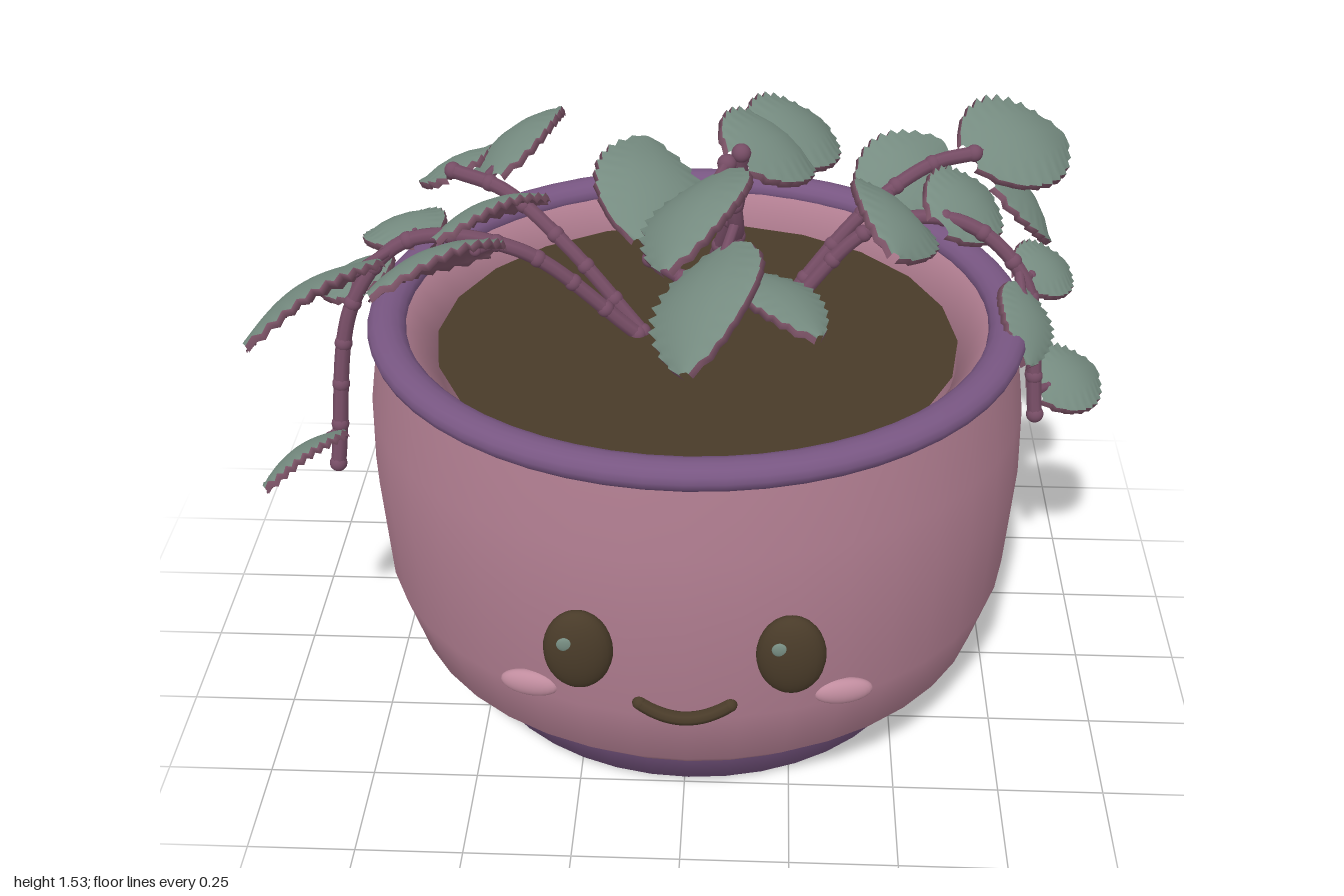
import * as THREE from 'three';

const mat = (name, color) => {
  const m = new THREE.MeshStandardMaterial({ color });
  m.name = name;
  return m;
};
const V = (p) => new THREE.Vector3(...p);

export function createModel() {
  const model = new THREE.Group();
  const pink = mat('dusty pink', 0xb07d90);
  const purple = mat('muted purple', 0x785682);
  const brown = mat('dark brown', 0x493b29);
  const green = mat('sage green', 0x768c81);
  const plum = mat('plum', 0x754c64);
  const mauve = mat('leaf mauve', 0x80566a);
  const blush = mat('blush', 0xc08c9e);

  const add = (parent, name, geo, material, pos = [0, 0, 0], scale = [1, 1, 1]) => {
    const mesh = new THREE.Mesh(geo, material);
    mesh.name = name;
    mesh.position.set(...pos);
    mesh.scale.set(...scale);
    parent.add(mesh);
    return mesh;
  };

  // Oval pot: lathed parts, wider than deep
  const pot = new THREE.Group();
  pot.name = 'pot';
  pot.position.set(0.01, 0, -0.015);
  pot.scale.set(1.085, 1, 1);
  model.add(pot);
  const lathe = (name, pts, material) => add(pot, name,
    new THREE.LatheGeometry(pts.map(([r, y]) => new THREE.Vector2(r, y)), 40), material);
  lathe('potWall', [[0.56, 0.11], [0.658, 0.21], [0.704, 0.38], [0.717, 0.65], [0.711, 0.82], [0.685, 1]], pink);
  lathe('baseBand', [[0.42, 0], [0.52, 0.02], [0.56, 0.11]], purple);
  lathe('underside', [[0.13, 0.15], [0.135, 0.09], [0.16, 0.055], [0.22, 0.05], [0.32, 0.04], [0.42, 0]], purple);
  lathe('innerWall', [[0.655, 1.02], [0.62, 1], [0.565, 0.92], [0.56, 0.5], [0.45, 0.17], [0.13, 0.15]], pink);
  const rim = new THREE.TorusGeometry(0.665, 0.041, 14, 56).rotateX(Math.PI / 2);
  add(pot, 'rim', rim, purple, [0, 1.012, 0], [1, 0.82, 1]);
  const soil = new THREE.CircleGeometry(0.565, 22).rotateX(-Math.PI / 2);
  add(pot, 'soil', soil, brown, [0, 0.94, 0]);

  // Face
  const ball = new THREE.SphereGeometry(1, 24, 16);
  for (const s of [-1, 1]) {
    const x = 0.01 + s * 0.23;
    add(model, 'eye', ball, brown, [x, 0.57, 0.688], [0.076, 0.104, 0.04]);
    add(model, 'eyeGlint', ball, green, [x - 0.025, 0.608, 0.72], [0.018, 0.018, 0.006]);
    const cheek = add(model, 'cheek', ball, blush, [0.01 + s * 0.35, 0.408, 0.617], [0.068, 0.033, 0.022]);
    cheek.rotation.y = s * 0.2;
  }
  const smile = new THREE.QuadraticBezierCurve3(V([-0.09, 0.418, 0.685]), V([0.01, 0.354, 0.71]), V([0.11, 0.418, 0.685]));
  add(model, 'mouth', new THREE.TubeGeometry(smile, 16, 0.016, 8), brown);
  for (const t of [0, 1]) add(model, 'mouthEnd', ball, brown, smile.getPoint(t).toArray(), [0.016, 0.016, 0.016]);

  // Surface from equal cross-section rows
  const skin = (rows, flip) => {
    const n = rows[0].length, index = [];
    for (let i = 0; i < rows.length - 1; i++) {
      for (let j = 0; j < n - 1; j++) {
        const a = i * n + j, b = a + 1, c = a + n, d = c + 1;
        index.push(...(flip ? [a, c, b, b, c, d] : [a, b, c, b, d, c]));
      }
    }
    const geo = new THREE.BufferGeometry().setFromPoints(rows.flat());
    geo.setIndex(index);
    geo.computeVertexNormals();
    return geo;
  };

  // Arched leaf with a serrated rim: green face above, mauve edge and underside
  const addLeaf = (parent, base, tip, up) => {
    const d = tip.clone().sub(base), len = d.length();
    const side = d.clone().cross(up).normalize();
    const n = side.clone().cross(d).normalize();
    const ROWS = 20, us = [-1, -0.85, -0.45, 0, 0.45, 0.85, 1];
    const point = (i, u, drop) => {
      const t = i / ROWS;
      const tooth = Math.abs(u) === 1 ? (i % 2 ? 1 : -1) : 0;
      const w = 0.38 * len * Math.pow(Math.sin(Math.PI * Math.pow(0.03 + 0.96 * t, 0.87)), 0.68);
      const h = 0.12 * len * Math.sin(Math.PI * t) - 0.2 * w * u * u + 0.005 * tooth;
      return base.clone().addScaledVector(d, t).addScaledVector(side, u * w * (1 + 0.05 * tooth)).addScaledVector(n, h - drop);
    };
    const rows = (fn) => Array.from({ length: ROWS + 1 }, (_, i) => fn(i));
    const leaf = new THREE.Group();
    leaf.name = 'leaf';
    add(leaf, 'leafTop', skin(rows((i) => us.map((u) => point(i, u, 0))), false), green);
    add(leaf, 'leafUnderside', skin(rows((i) => [point(i, -1, 0),
      ...us.map((u) => point(i, u, 0.016)), point(i, 1, 0)]), true), mauve);
    parent.add(leaf);
  };

  // Tube with knobbly joints
  const addTube = (parent, name, pts, r) => {
    const curve = new THREE.CatmullRomCurve3(pts);
    const steps = Math.max(1, Math.round(curve.getLength() / 0.1));
    add(parent, name, new THREE.TubeGeometry(curve, 6 * steps, r, 8), plum);
    for (let i = 0; i <= steps; i++) {
      add(parent, name + 'Joint', ball, plum, curve.getPointAt(i / steps).toArray(), [r * 1.15, r * 1.15, r * 1.15]);
    }
    return curve;
  };

  // Stem with stalked leaves facing 'up', each given as [place along stem, length, tip]
  const grow = (name, up, stem, leaves) => {
    const branch = new THREE.Group();
    branch.name = name;
    model.add(branch);
    const curve = addTube(branch, 'stem', stem.map(V), 0.018);
    for (const [t, length, tipAt] of leaves) {
      const root = curve.getPoint(t), tip = V(tipAt);
      const base = tip.clone().addScaledVector(root.clone().sub(tip).normalize(), length);
      addTube(branch, 'leafStalk', [root, base.clone().lerp(tip, 0.15)], 0.012);
      addLeaf(branch, base, tip, V(up));
    }
  };

  grow('middleStem', [0.6, 1, 0.1],
    [[0.04, 0.93, 0], [0.05, 1.15, 0.03], [0.1, 1.36, 0.12], [0.11, 1.5, 0.16]], [
      [0.97, 0.3, [0.23, 1.41, -0.11]],
      [0.95, 0.3, [0.29, 1.4, -0.24]],
    ]);
  grow('middleBackStem', [0.4, 0.8, 0.4],
    [[0.05, 0.94, 0], [0, 1.06, -0.03], [-0.1, 1.12, -0.06]], [
      [1, 0.37, [-0.13, 1.24, -0.47]],
    ]);
  grow('middleForeStem', [-0.65, 1, 0.05],
    [[0.1, 1.2, 0.06], [0.1, 1.33, 0.15], [0.08, 1.48, 0.17]], [
      [1, 0.33, [-0.04, 1.4, 0.49]],
      [0.5, 0.36, [0, 1.18, 0.53]],
    ]);
  grow('middleLowStem', [-0.3, 0.8, -0.7],
    [[0.05, 0.94, 0], [0.07, 1.06, 0.02], [0.1, 1.16, 0.04]], [
      [1, 0.29, [0.29, 1.12, 0.27]],
    ]);
  grow('leftStem', [-0.55, 1, -0.4],
    [[-0.12, 0.94, -0.03], [-0.3, 1.13, -0.1], [-0.45, 1.23, -0.18], [-0.58, 1.25, -0.24]], [
      [0.8, 0.33, [-0.37, 1.28, -0.53]],
      [1, 0.25, [-0.6, 1.14, -0.49]],
    ]);
  grow('leftTrailingStem', [-0.5, 1, -0.5],
    [[-0.13, 0.94, -0.02], [-0.4, 1.17, 0], [-0.65, 1.2, 0.02], [-0.78, 1.06, 0.06], [-0.84, 0.66, 0.14]], [
      [0.42, 0.31, [-0.35, 1.23, -0.16]],
      [0.3, 0.36, [-0.7, 1.2, 0.27]],
      [0.55, 0.36, [-0.98, 1.08, 0.29]],
      [0.75, 0.25, [-0.83, 0.99, -0.26]],
      [0.46, 0.25, [-0.74, 1.13, -0.2]],
      [0.95, 0.23, [-0.99, 0.68, 0.27]],
    ]);
  grow('rightStem', [0.75, 1, 0.15],
    [[0.2, 0.94, -0.14], [0.4, 1.17, -0.22], [0.56, 1.26, -0.3], [0.66, 1.28, -0.32]], [
      [0.97, 0.36, [0.91, 1.22, -0.57]],
      [1, 0.35, [0.88, 0.95, -0.58]],
      [0.45, 0.32, [0.46, 1.22, 0.08]],
      [0.3, 0.3, [0.6, 1.24, -0.47]],
    ]);
  grow('rightTrailingStem', [0.8, 1, 0.1],
    [[0.2, 0.94, -0.1], [0.42, 1.17, -0.14], [0.62, 1.2, -0.12], [0.77, 1.08, -0.07], [0.82, 0.75, 0]], [
      [0.46, 0.28, [0.7, 1.18, -0.34]],
      [0.72, 0.22, [0.77, 0.98, 0.15]],
      [0.75, 0.21, [0.89, 1.04, -0.24]],
      [0.96, 0.25, [0.99, 0.76, -0.21]],
    ]);
  return model;
}
